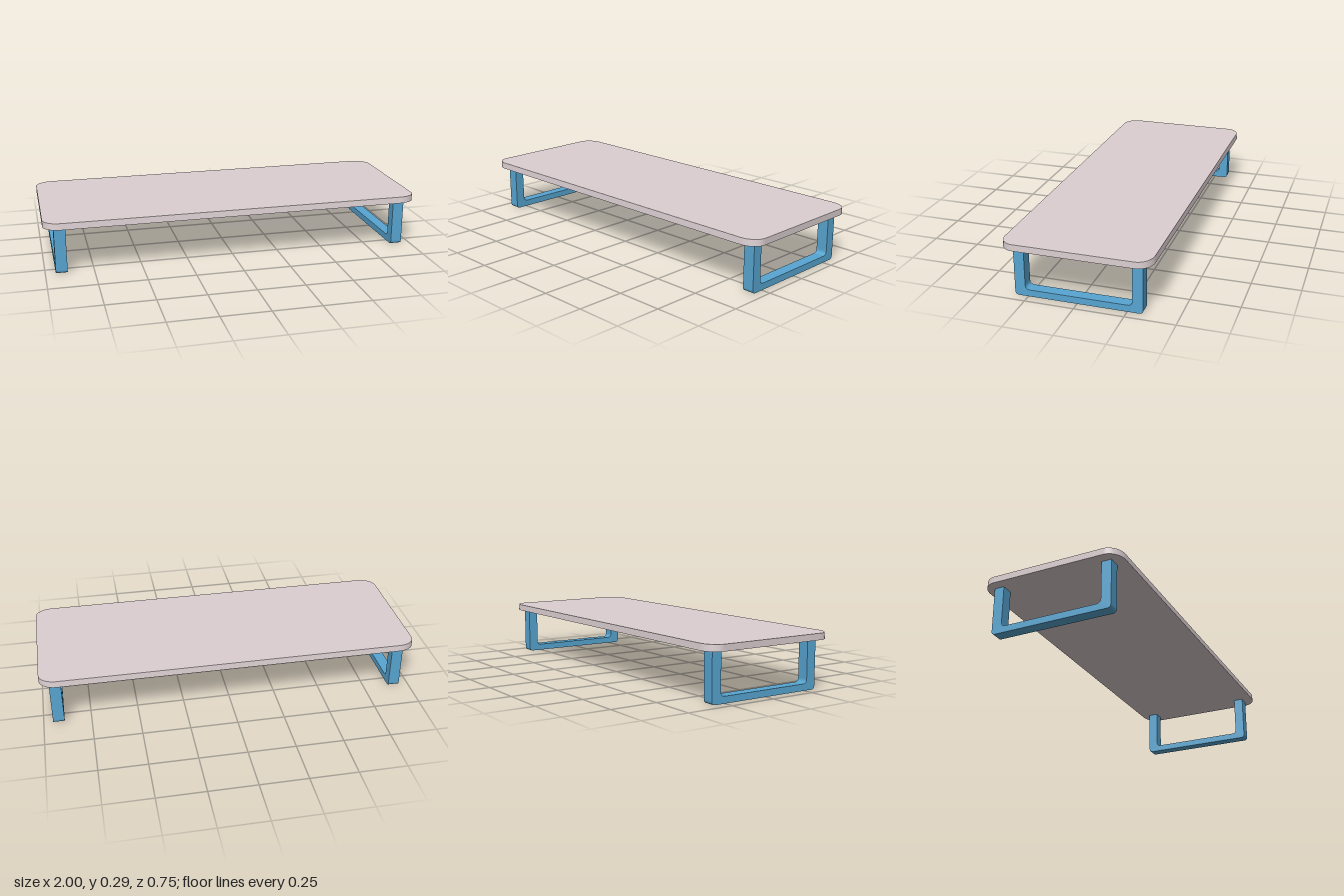
import * as THREE from 'three';

const boardMaterial = new THREE.MeshStandardMaterial({ color: 0xdccfd2 });
const legMaterial = new THREE.MeshStandardMaterial({ color: 0x58a6d2 });

// Flat top with elliptical corners, its long edges leaning slightly inward
function createBoard() {
  const bottom = 0.256, thickness = 0.034;
  const w = 1, d = 0.376, rx = 0.09, rz = 0.075;
  const shape = new THREE.Shape();
  const corners = [[1, 1, 0], [-1, 1, 1], [-1, -1, 2], [1, -1, 3]];
  shape.moveTo(w, d - rz);
  for (const [sx, sz, quarter] of corners) {
    const start = quarter * Math.PI / 2;
    shape.absellipse(sx * (w - rx), sz * (d - rz), rx, rz, start, start + Math.PI / 2, false, 0);
  }
  shape.closePath();
  const geometry = new THREE.ExtrudeGeometry(shape, { depth: thickness, bevelEnabled: false, curveSegments: 10 });
  geometry.rotateX(-Math.PI / 2);
  geometry.translate(0, bottom, 0);
  const p = geometry.attributes.position;
  for (let i = 0; i < p.count; i++) {
    if (p.getY(i) > bottom + thickness / 2) p.setZ(i, p.getZ(i) * 0.992);
  }
  geometry.computeVertexNormals();
  const board = new THREE.Mesh(geometry, boardMaterial);
  board.name = 'board';
  return board;
}

// U-shaped flat bar with rounded outer and inner bends
function createLeg(x, name) {
  const width = 0.06, top = 0.256, base = 0.035;
  const outer = 0.323, inner = 0.27, ro = 0.02, ri = 0.024;
  const s = new THREE.Shape();
  s.moveTo(-outer, top);
  s.lineTo(-outer, ro);
  s.quadraticCurveTo(-outer, 0, -outer + ro, 0);
  s.lineTo(outer - ro, 0);
  s.quadraticCurveTo(outer, 0, outer, ro);
  s.lineTo(outer, top);
  s.lineTo(inner, top);
  s.lineTo(inner, base + ri);
  s.quadraticCurveTo(inner, base, inner - ri, base);
  s.lineTo(-inner + ri, base);
  s.quadraticCurveTo(-inner, base, -inner, base + ri);
  s.lineTo(-inner, top);
  s.closePath();
  const geometry = new THREE.ExtrudeGeometry(s, { depth: width, bevelEnabled: false, curveSegments: 6 });
  geometry.translate(0, 0, -width / 2);
  geometry.rotateY(Math.PI / 2);
  const leg = new THREE.Mesh(geometry, legMaterial);
  leg.position.set(x, 0, -0.005);
  leg.name = name;
  return leg;
}

export function createModel() {
  const model = new THREE.Group();
  model.name = 'lowTable';
  model.add(createBoard(), createLeg(0.921, 'leftLeg'), createLeg(-0.917, 'rightLeg'));
  return model;
}
